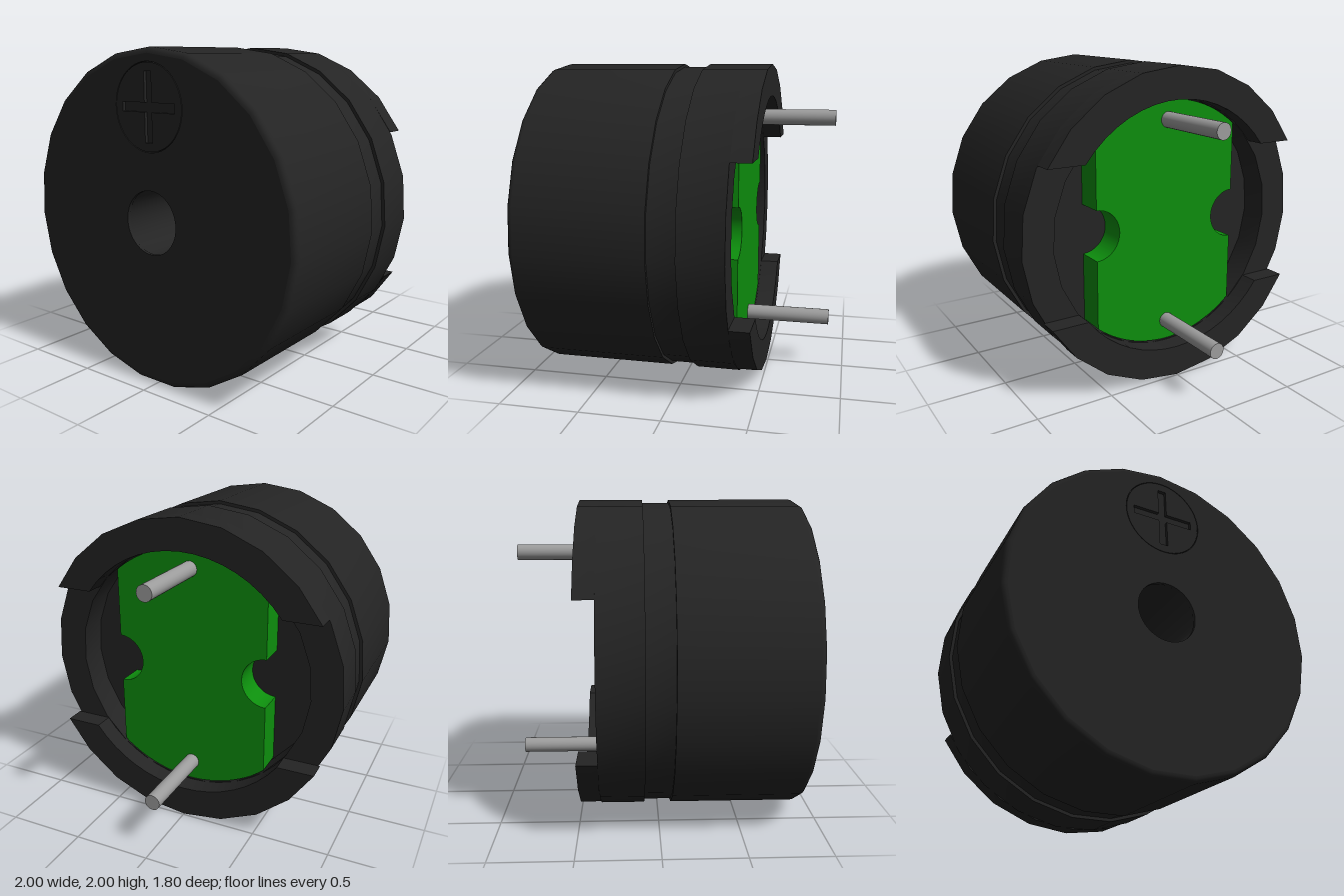
import * as THREE from 'three';
import { toCreasedNormals } from 'three/addons/utils/BufferGeometryUtils.js';

const SIDES = 23;
const STEP = (Math.PI * 2) / SIDES;
const TOP = Math.PI / 2;

const mat = (name, color) => {
  const m = new THREE.MeshStandardMaterial({ color });
  m.name = name;
  return m;
};

const circlePath = (x, y, r) => new THREE.Path().absarc(x, y, r, 0, Math.PI * 2, false);

// Plus-shaped outline
function crossPoints(cy, arm, half) {
  const pts = [];
  for (let i = 0; i < 4; i++) {
    const c = Math.round(Math.cos(i * TOP)), s = Math.round(Math.sin(i * TOP));
    for (const [x, y] of [[arm, -half], [arm, half], [half, half]]) {
      pts.push(new THREE.Vector2(x * c - y * s, cy + x * s + y * c));
    }
  }
  return pts;
}

export function createModel() {
  const model = new THREE.Group();
  model.name = 'buzzer';
  const black = mat('black plastic', 0x242424);
  const green = mat('green board', 0x0d8e0d);
  const silver = mat('silver disc', 0xc0c0c0);
  const steel = mat('pin metal', 0x9c9c9c);

  const add = (name, geometry, material, z = 0) => {
    const mesh = new THREE.Mesh(geometry, material);
    mesh.name = name;
    mesh.position.set(0, 1, z);
    model.add(mesh);
    return mesh;
  };
  const extrude = (shape, depth) => toCreasedNormals(
    new THREE.ExtrudeGeometry(shape, { depth, bevelEnabled: false, curveSegments: 24 }), 0.5);

  // Housing: rear cavity, groove, rounded front rim and sound hole
  const profile = [[0, -0.18], [0.8, -0.18], [0.8, -0.365], [1, -0.365], [1, -0.09],
    [0.98, -0.09], [0.98, 0.08], [1, 0.08]];
  for (let i = 0; i <= 4; i++) {
    const a = (i / 4) * TOP;
    profile.push([0.965 + 0.035 * Math.cos(a), 0.865 + 0.035 * Math.sin(a)]);
  }
  profile.push([0.965, 0.88], [0.195, 0.88], [0.195, 0.3]);
  const lathe = new THREE.LatheGeometry(
    profile.map(([r, z]) => new THREE.Vector2(r, z)), SIDES, Math.PI);
  lathe.rotateX(Math.PI / 2);
  add('housing', toCreasedNormals(lathe, 0.5), black);

  // Front face with sound hole and round polarity recess
  const rim = [];
  for (let i = 0; i < SIDES; i++) {
    const a = TOP + i * STEP;
    rim.push(new THREE.Vector2(0.965 * Math.cos(a), 0.965 * Math.sin(a)));
  }
  const face = new THREE.Shape(rim);
  face.holes.push(circlePath(0, 0, 0.19), circlePath(0, 0.665, 0.255));
  add('frontFace', extrude(face, 0.02), black, 0.88);

  // Polarity disc with an engraved plus
  const mark = new THREE.Shape().absarc(0, 0.665, 0.251, 0, Math.PI * 2, false);
  mark.holes.push(new THREE.Path(crossPoints(0.665, 0.2, 0.027)));
  add('polarityMark', extrude(mark, 0.02), black, 0.88);

  // Metal disc at the bottom of the sound hole
  add('soundDisc', new THREE.CircleGeometry(0.195, 32), silver, 0.301);

  // Two raised rear arcs with open gaps at the sides
  const cut = 0.475;
  const leg = new THREE.Shape();
  const start = Math.asin(cut), innerStart = Math.asin(cut / 0.8);
  leg.moveTo(Math.cos(start), cut);
  for (let k = -3; k <= 3; k++) {
    leg.lineTo(Math.cos(TOP + k * STEP), Math.sin(TOP + k * STEP));
  }
  leg.lineTo(-Math.cos(start), cut);
  for (let i = 0; i <= 16; i++) {
    const a = Math.PI - innerStart - (i / 16) * (Math.PI - 2 * innerStart);
    leg.lineTo(0.8 * Math.cos(a), 0.8 * Math.sin(a));
  }
  leg.closePath();
  const legGeometry = extrude(leg, 0.125);
  add('upperRearArc', legGeometry, black, -0.49);
  add('lowerRearArc', legGeometry, black, -0.49).rotation.z = Math.PI;

  // Circuit board: rounded ends, straight sides with half-round notches
  const w = 0.51, r = 0.79, n = 0.16;
  const corner = Math.acos(w / r);
  const board = new THREE.Shape();
  board.absarc(0, 0, r, corner, Math.PI - corner, false);
  board.absarc(-w, 0, n, TOP, -TOP, true);
  board.absarc(0, 0, r, Math.PI + corner, -corner, false);
  board.absarc(w, 0, n, -TOP, -TOP * 3, true);
  board.closePath();
  add('circuitBoard', extrude(board, 0.182), green, -0.36);

  // Pins
  const pin = new THREE.CylinderGeometry(0.05, 0.05, 0.7, 24).rotateX(Math.PI / 2);
  add('upperPin', pin, steel, -0.55).position.y = 1.665;
  add('lowerPin', pin, steel, -0.55).position.y = 0.34;

  return model;
}
